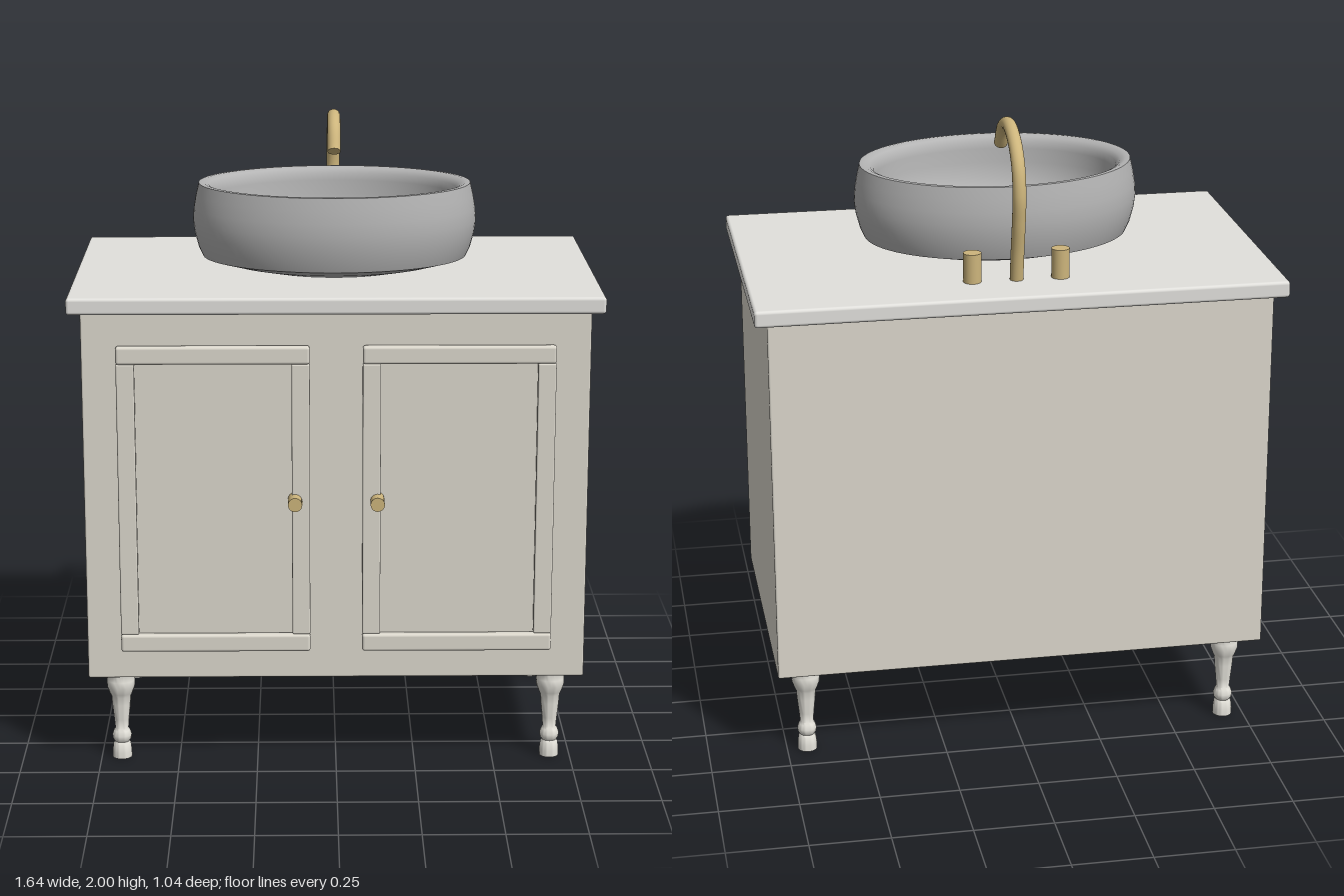
import * as THREE from 'three';
import { toCreasedNormals } from 'three/addons/utils/BufferGeometryUtils.js';
import { RoundedBoxGeometry } from 'three/addons/geometries/RoundedBoxGeometry.js';

const paint = new THREE.MeshStandardMaterial({ color: 0xddd9ce });
const stone = new THREE.MeshStandardMaterial({ color: 0xe2e1dd });
const legPaint = new THREE.MeshStandardMaterial({ color: 0xe4e2da });
const ceramic = new THREE.MeshStandardMaterial({ color: 0xb4b4b4 });
const brass = new THREE.MeshStandardMaterial({ color: 0xcdb57c });

function add(parent, name, geometry, material, x = 0, y = 0, z = 0) {
  const mesh = new THREE.Mesh(geometry, material);
  mesh.name = name;
  mesh.position.set(x, y, z);
  parent.add(mesh);
  return mesh;
}

const lathe = (pts, segments) =>
  new THREE.LatheGeometry(pts.map(([r, y]) => new THREE.Vector2(r, y)), segments);

// Framed door front: rails run full width, stiles sit between them
function createDoor(side) {
  const door = new THREE.Group();
  door.name = side > 0 ? 'leftDoor' : 'rightDoor';
  const width = 0.592, bottom = 0.395, top = 1.375, bar = 0.056;
  const cx = side * 0.377;
  const rail = new RoundedBoxGeometry(width, bar, 0.03, 3, 0.009);
  const stile = new RoundedBoxGeometry(bar, top - bottom - 2 * bar, 0.024, 3, 0.005);
  for (const y of [bottom + bar / 2, top - bar / 2]) add(door, 'doorRail', rail, paint, cx, y, 0.47);
  for (const s of [-1, 1])
    add(door, 'doorStile', stile, paint, cx + s * (width - bar) / 2, (bottom + top) / 2, 0.468);
  const knob = new THREE.CylinderGeometry(0.022, 0.022, 0.07, 24).rotateX(Math.PI / 2);
  add(door, 'doorKnob', knob, brass, side * 0.127, 0.885, 0.488);
  return door;
}

// Curved spout with closed mouth, and two round handles
function createFaucet() {
  const faucet = new THREE.Group();
  faucet.name = 'faucet';
  const path = new THREE.CatmullRomCurve3([
    [1.52, -0.348], [1.62, -0.364], [1.72, -0.384], [1.805, -0.393], [1.89, -0.372],
    [1.948, -0.315], [1.979, -0.22], [1.952, -0.13], [1.885, -0.078],
  ].map(([y, z]) => new THREE.Vector3(0, y, z)));
  add(faucet, 'spout', new THREE.TubeGeometry(path, 64, 0.021, 20), brass);
  const mouth = add(faucet, 'spoutMouth', new THREE.CircleGeometry(0.021, 20), brass);
  mouth.position.copy(path.getPoint(1));
  mouth.quaternion.setFromUnitVectors(new THREE.Vector3(0, 0, 1), path.getTangent(1));
  for (const s of [-1, 1])
    add(faucet, 'handle', new THREE.CylinderGeometry(0.028, 0.028, 0.095, 28), brass, s * 0.137, 1.572, -0.348);
  return faucet;
}

export function createModel() {
  const model = new THREE.Group();
  model.name = 'vanity';

  // Cabinet and countertop
  add(model, 'cabinet', new RoundedBoxGeometry(1.56, 1.175, 0.94, 2, 0.006), paint, 0, 0.8875, -0.015);
  add(model, 'countertop', new RoundedBoxGeometry(1.64, 0.052, 1.012, 3, 0.01), stone, 0, 1.501, -0.016);

  for (const side of [-1, 1]) model.add(createDoor(side));

  // Turned legs
  const leg = toCreasedNormals(lathe([
    [0, 0], [0.031, 0], [0.031, 0.02], [0.028, 0.045], [0.023, 0.053], [0.029, 0.062], [0.031, 0.075],
    [0.026, 0.09], [0.021, 0.097], [0.024, 0.13], [0.029, 0.18], [0.031, 0.207], [0.036, 0.218],
    [0.044, 0.24], [0.045, 0.262], [0.039, 0.28], [0.043, 0.288], [0.043, 0.302], [0, 0.302],
  ], 28), 0.9);
  for (const x of [-0.685, 0.685])
    for (const z of [0.36, -0.386]) add(model, 'leg', leg, legPaint, x, 0, z);

  // Oval vessel basin: outside up, over the rim, down the inside
  const basin = lathe([
    [0, 0], [0.22, 0], [0.33, 0.022], [0.418, 0.045], [0.432, 0.075], [0.444, 0.12], [0.449, 0.16],
    [0.446, 0.2], [0.439, 0.24], [0.43, 0.278], [0.415, 0.279], [0.398, 0.272], [0.385, 0.258],
    [0.381, 0.235], [0.378, 0.19], [0.365, 0.14], [0.335, 0.098], [0.28, 0.068], [0.19, 0.05], [0.09, 0.043], [0, 0.041],
  ], 72).scale(1, 1, 0.738);
  add(model, 'basin', toCreasedNormals(basin, 0.6), ceramic, 0, 1.527, 0.021);

  model.add(createFaucet());
  return model;
}
